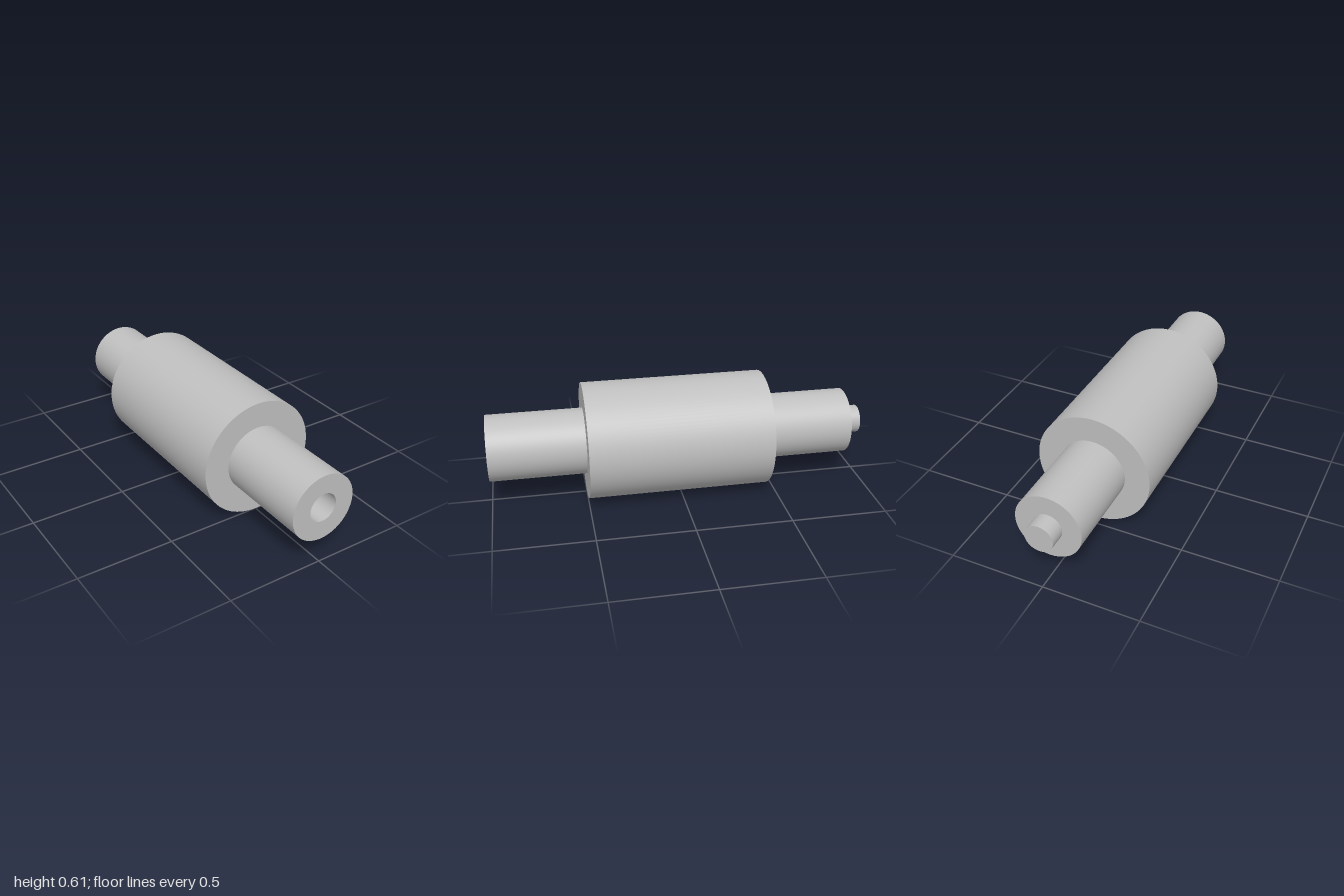
import * as THREE from 'three';

const SEGMENTS = 96;
const AXIS_Y = 0.305;

export function createModel() {
  const group = new THREE.Group();
  group.name = 'roller';
  const steel = new THREE.MeshStandardMaterial({ color: 0xbfbfbf });
  steel.name = 'plain steel';

  // Turns a [radius, z] profile about the z axis, one lathe per straight run so edges stay sharp
  function turned(name, profile) {
    const part = new THREE.Group();
    part.name = name;
    for (let i = 0; i < profile.length - 1; i++) {
      const run = [profile[i], profile[i + 1]].map(([r, z]) => new THREE.Vector2(r, z));
      const geometry = new THREE.LatheGeometry(run, SEGMENTS);
      geometry.rotateX(Math.PI / 2);
      const mesh = new THREE.Mesh(geometry, steel);
      mesh.name = name + 'Surface';
      part.add(mesh);
    }
    part.position.y = AXIS_Y;
    group.add(part);
  }

  // Small locating peg at the back
  turned('backPeg', [[0, -1], [0.074, -1], [0.074, -0.913]]);
  // Back journal with its end shoulder
  turned('backShaft', [[0.074, -0.913], [0.173, -0.913], [0.173, -0.455]]);
  // Wide central drum
  turned('drum', [[0.173, -0.455], [0.305, -0.455], [0.305, 0.5], [0.173, 0.5]]);
  // Front journal with a blind bore
  turned('frontShaft', [[0.173, 0.5], [0.173, 1], [0.074, 1]]);
  turned('frontBore', [[0.074, 1], [0.074, 0.5], [0, 0.5]]);

  return group;
}
